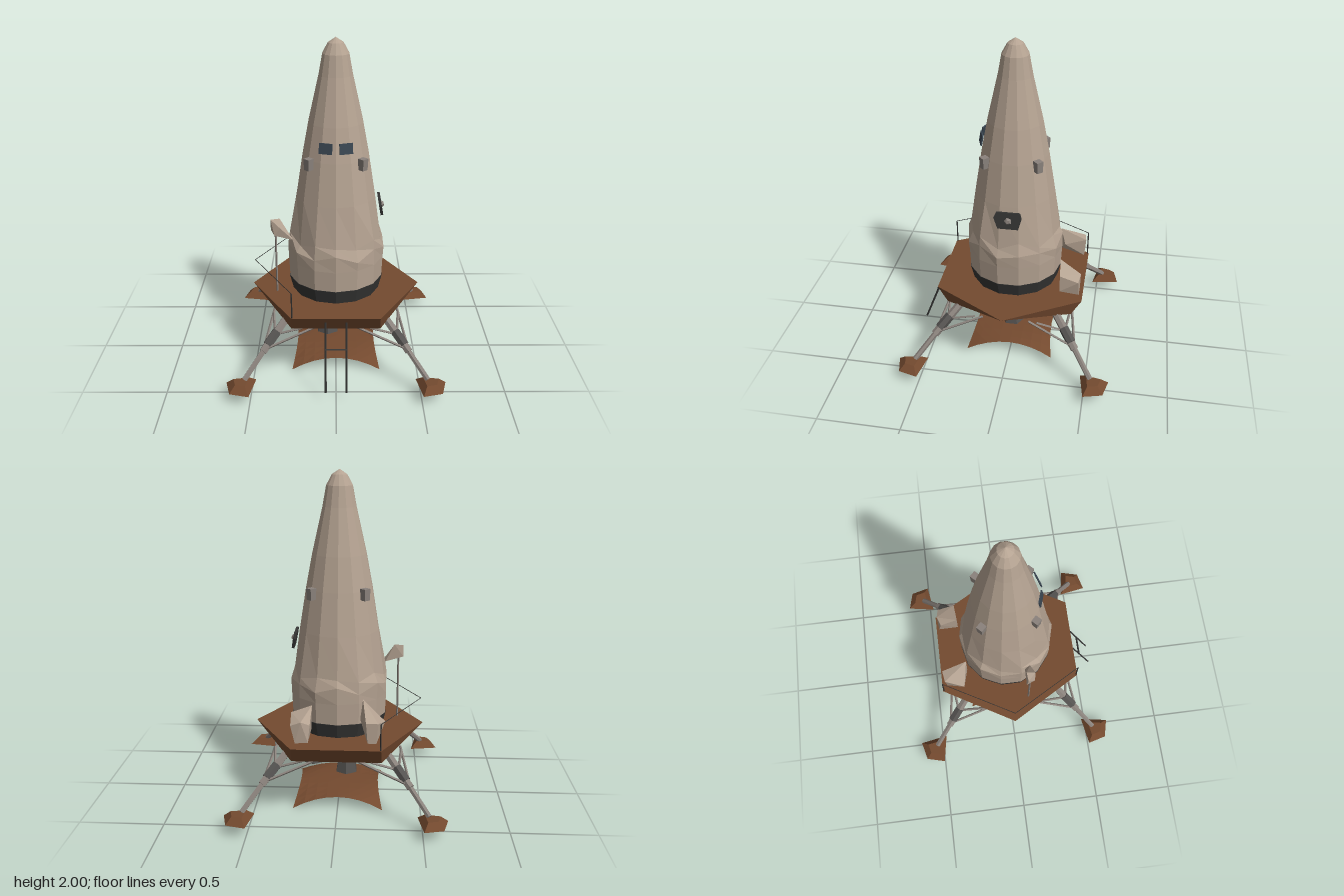
import * as THREE from 'three';
import { ConvexGeometry } from 'three/addons/geometries/ConvexGeometry.js';

const V = (x, y, z) => new THREE.Vector3(x, y, z);
const mat = (color) => new THREE.MeshStandardMaterial({ color, flatShading: true, side: THREE.DoubleSide });
const hull = mat(0xb5a392), rust = mat(0x744a2f), dark = mat(0x353534), steel = mat(0x8a827c),
  bellGrey = mat(0x555351), glass = mat(0x3a4651);

export function createModel() {
  const root = new THREE.Group();
  const add = (name, geo, m, parent = root) => {
    const mesh = new THREE.Mesh(geo, m);
    mesh.name = name;
    parent.add(mesh);
    return mesh;
  };
  // Straight bar between two points
  const bar = (name, a, b, r, m, parent = root, sides = 4, r2 = r) => {
    const d = b.clone().sub(a);
    const mesh = add(name, new THREE.CylinderGeometry(r2, r, d.length(), sides), m, parent);
    mesh.position.copy(a).addScaledVector(d, 0.5);
    mesh.quaternion.setFromUnitVectors(V(0, 1, 0), d.normalize());
    return mesh;
  };
  const convex = (name, pts, m, parent = root) => add(name, new ConvexGeometry(pts.map((p) => V(...p))), m, parent);

  // Tapered hull with a faceted, slightly uneven skirt
  const profile = [[0.287, 0.55], [0.293, 0.68], [0.295, 0.76], [0.277, 0.82], [0.24, 1.07], [0.2, 1.32],
    [0.162, 1.52], [0.1, 1.79], [0.078, 1.91], [0.045, 1.97], [0, 2]];
  const sides = 14, rows = profile.length;
  const hullGeo = new THREE.LatheGeometry(profile.map((p) => new THREE.Vector2(...p)), sides);
  const pos = hullGeo.attributes.position;
  for (let i = 0; i < pos.count; i++) {
    const row = i % rows, col = Math.floor(i / rows) % sides;
    if (row === 2 || row === 3) {
      const k = row === 2 ? 1 + 0.015 * Math.sin(col * 2.3) : 1 + 0.03 * Math.sin(col * 4.1);
      pos.setXYZ(i, pos.getX(i) * k, pos.getY(i) + 0.025 * Math.sin(col * 2.7 + row), pos.getZ(i) * k);
    }
  }
  add('hull', hullGeo, hull);
  add('hullBaseRing', new THREE.CylinderGeometry(0.29, 0.268, 0.09, sides), dark).position.y = 0.507;

  // Hexagonal deck narrowing downward
  const deck = [];
  for (const s of [-1, 1]) {
    deck.push([s * 0.515, 0.465, 0], [s * 0.39, 0.365, 0]);
    for (const t of [-1, 1]) deck.push([s * 0.258, 0.465, t * 0.445], [s * 0.262, 0.365, t * 0.385]);
  }
  convex('deck', deck, rust);

  // Three engine bells
  for (let i = 0; i < 3; i++) {
    const a = (i * Math.PI * 2) / 3;
    const bell = add('engineBell', new THREE.CylinderGeometry(0.036, 0.07, 0.17, 6, 1, true), bellGrey);
    bell.position.set(0.02 + 0.14 * Math.cos(a), 0.288, -0.01 + 0.15 * Math.sin(a));
  }

  // Four landing legs with kite-shaped foot pads
  for (const sx of [-1, 1]) for (const sz of [-1, 1]) {
    const leg = new THREE.Group();
    leg.name = 'landingLeg';
    root.add(leg);
    const P = (x, y, z) => V(sx * x, y, sz * z);
    const kite = [[0.472, 0.472], [0.645, 0.502], [0.615, 0.617], [0.502, 0.645]];
    const pad = [];
    for (const [x, z] of kite) {
      pad.push([sx * x, 0.07, sz * z], [sx * (0.55 + (x - 0.55) * 0.52), 0.11, sz * (0.55 + (z - 0.55) * 0.52)]);
    }
    convex('footPad', pad, rust, leg);
    bar('lowerStrut', P(0.535, 0.11, 0.535), P(0.4, 0.27, 0.4), 0.017, steel, leg, 6);
    bar('upperStrut', P(0.43, 0.235, 0.43), P(0.28, 0.4, 0.28), 0.025, steel, leg, 6);
    bar('strutCollar', P(0.405, 0.265, 0.405), P(0.35, 0.325, 0.35), 0.03, bellGrey, leg, 6);
    bar('braceStrut', P(0.425, 0.25, 0.415), P(0.375, 0.365, 0.14), 0.008, steel, leg);
    bar('braceStrut', P(0.415, 0.25, 0.425), P(0.13, 0.365, 0.375), 0.008, steel, leg);
    bar('braceStrut', P(0.36, 0.31, 0.36), P(0.38, 0.365, 0.19), 0.008, steel, leg);
    bar('braceStrut', P(0.36, 0.31, 0.36), P(0.2, 0.365, 0.38), 0.008, steel, leg);
  }

  // Drooping square shield under the engines
  const shield = new THREE.PlaneGeometry(0.54, 0.54, 8, 8).rotateX(-Math.PI / 2);
  const sp = shield.attributes.position;
  for (let i = 0; i < sp.count; i++) {
    const u = sp.getX(i) / 0.27, v = sp.getZ(i) / 0.27;
    sp.setY(i, 0.076 - 0.01 * Math.max(u * u, v * v) - 0.066 * u * u * v * v);
    sp.setX(i, sp.getX(i) * (1 - 0.1 * u * u * (1 - v * v)));
    sp.setZ(i, sp.getZ(i) * (1 - 0.1 * v * v * (1 - u * u)));
  }
  add('blastShield', shield, rust);

  // Ladder
  for (const s of [-1, 1]) bar('ladderRail', V(s * 0.06, 0.06, 0.59), V(s * 0.06, 0.44, 0.443), 0.006, dark);
  bar('ladderRung', V(-0.065, 0.295, 0.503), V(0.06, 0.295, 0.503), 0.006, dark);

  // Thin rail round one side of the deck
  for (const s of [-1, 1]) {
    bar('railPost', V(-0.255, 0.46, s * 0.437), V(-0.255, 0.625, s * 0.437), 0.004, dark);
    bar('handRail', V(-0.255, 0.625, s * 0.437), V(-0.5, 0.625, 0), 0.002, dark);
  }

  // Mast with a horn pointing at the hull
  bar('hornMast', V(-0.36, 0.46, 0.105), V(-0.36, 0.88, 0.105), 0.006, steel);
  convex('horn', [[-0.39, 0.935, 0.09], [-0.335, 0.94, 0.085], [-0.39, 0.865, 0.08], [-0.365, 0.85, 0.135],
    [-0.33, 0.9, 0.14], [-0.255, 0.815, 0.12], [-0.28, 0.83, 0.085]], hull);

  // Equipment pods at the back
  convex('leftPod', [[0.2, 0.625, -0.43], [0.15, 0.6, -0.41], [0.26, 0.6, -0.42], [0.16, 0.5, -0.425],
    [0.235, 0.495, -0.425], [0.145, 0.68, -0.3], [0.265, 0.64, -0.31], [0.15, 0.53, -0.3], [0.265, 0.53, -0.31]], hull);
  convex('rightPod', [[-0.24, 0.62, -0.42], [-0.17, 0.625, -0.43], [-0.18, 0.5, -0.42], [-0.23, 0.495, -0.41],
    [-0.28, 0.59, -0.3], [-0.15, 0.71, -0.27], [-0.135, 0.6, -0.3], [-0.16, 0.56, -0.27]], hull);

  // Four thruster blocks round the upper hull
  for (const sx of [-1, 1]) for (const sz of [-1, 1]) {
    add('thrusterBlock', new THREE.CylinderGeometry(0.03, 0.026, 0.068, 4), steel).position.set(sx * 0.155, 1.306, sz * 0.155);
  }

  // Two forward windows, leaning with the hull
  for (const s of [-1, 1]) {
    const win = add('window', new THREE.BoxGeometry(0.078, 0.062, 0.008), glass);
    win.position.set(s * 0.058, 1.41, 0.19);
    win.rotation.set(-0.18, s * 0.32, 0, 'YXZ');
  }

  // Side hatch with a small centre boss
  const hatch = new THREE.Group();
  hatch.name = 'sideHatch';
  hatch.position.set(0.268, 1, 0);
  hatch.rotation.z = 0.17;
  root.add(hatch);
  const outline = new THREE.Shape([[-0.07, 0.05], [-0.085, 0.015], [-0.06, -0.05], [0.06, -0.05], [0.078, 0.015],
    [0.068, 0.05]].map((p) => new THREE.Vector2(...p)));
  const plate = add('hatchPlate', new THREE.ExtrudeGeometry(outline, { depth: 0.016, bevelEnabled: false }), dark, hatch);
  plate.rotation.y = Math.PI / 2;
  plate.position.x = -0.008;
  const boss = add('hatchBoss', new THREE.CylinderGeometry(0.012, 0.024, 0.015, 5), steel, hatch);
  boss.rotation.z = -Math.PI / 2;
  boss.position.x = 0.014;

  return root;
}
